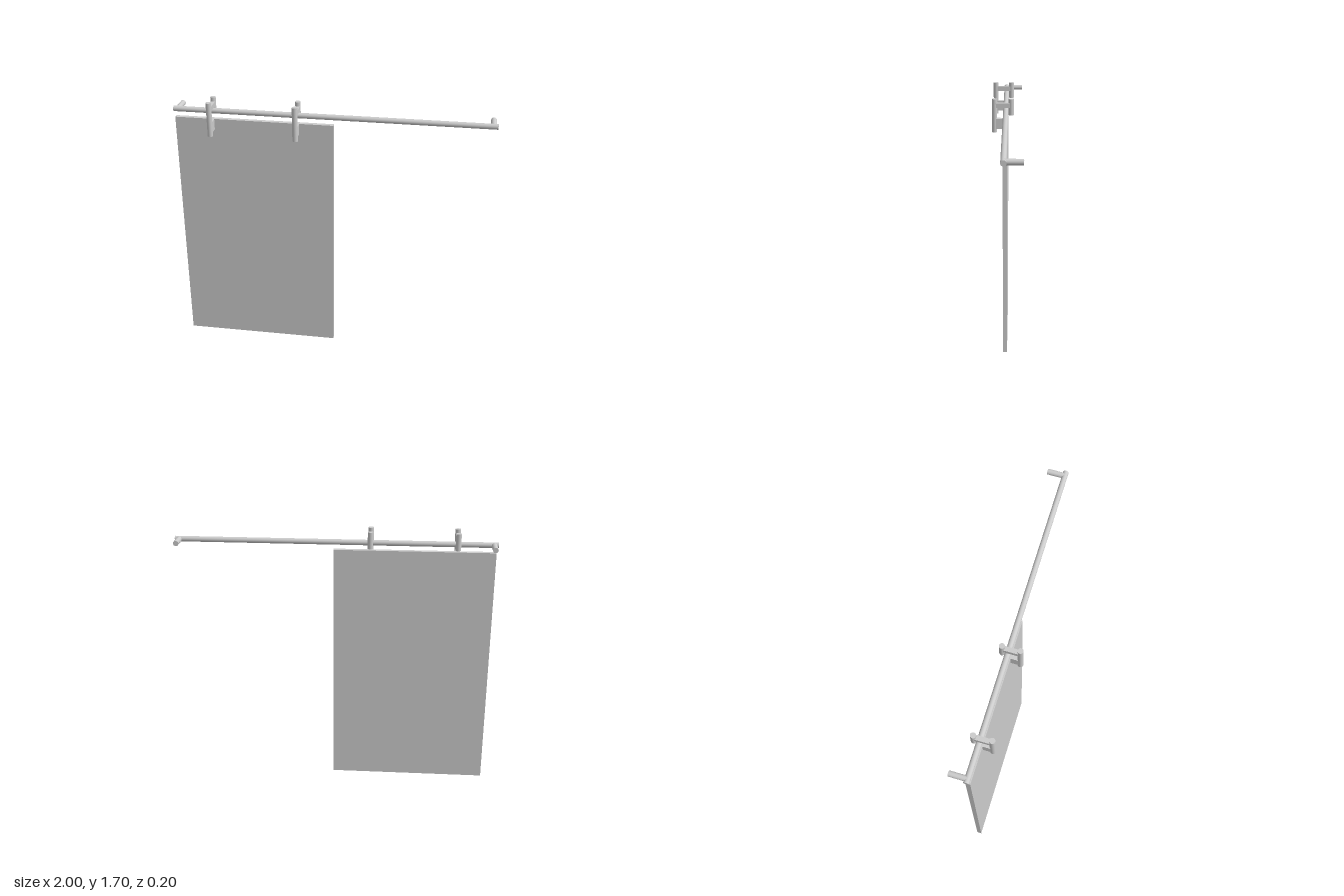
import * as THREE from 'three';

const material = new THREE.MeshStandardMaterial({ color: 0xcccccc });
const R = 0.017; // radius of all round bars
const RAIL_Y = 1.621, RAIL_Z = 0.009;

function part(name, geometry, x, y, z) {
  const mesh = new THREE.Mesh(geometry, material);
  mesh.name = name;
  mesh.position.set(x, y, z);
  return mesh;
}

// Upright round post between two heights
function post(name, y0, y1, z) {
  return part(name, new THREE.CylinderGeometry(R, R, y1 - y0, 32), 0, (y0 + y1) / 2, z);
}

// Box given by its extents in y and z, centred on x
function block(name, width, y0, y1, z0, z1) {
  return part(name, new THREE.BoxGeometry(width, y1 - y0, z1 - z0), 0, (y0 + y1) / 2, (z0 + z1) / 2);
}

// Hook that rides over the rail and grips the front of the panel
function createHanger(x) {
  const hanger = new THREE.Group();
  hanger.name = 'hanger';
  hanger.position.x = x;
  hanger.add(
    post('frontPost', 1.481, 1.698, 0.082),
    post('backPost', 1.593, 1.698, -0.026),
    block('crossBar', 0.029, 1.643, 1.672, -0.026, 0.082),
    block('panelClamp', 0.029, 1.504, 1.571, 0.026, 0.082)
  );
  return hanger;
}

export function createModel() {
  const model = new THREE.Group();
  model.name = 'slidingDoor';

  // Door panel
  const panel = block('doorPanel', 1.0, 0, 1.573, -0.001, 0.027);
  panel.position.x = -0.49;
  model.add(panel);

  // Rail
  const rail = new THREE.CylinderGeometry(R, R, 2, 32).rotateZ(Math.PI / 2);
  model.add(part('rail', rail, 0, RAIL_Y, RAIL_Z));

  // Wall standoffs at both ends of the rail
  const length = RAIL_Z + 0.099;
  for (const side of [-1, 1]) {
    const standoff = new THREE.CylinderGeometry(R, R, length, 32).rotateX(Math.PI / 2);
    model.add(part('wallStandoff', standoff, side * 0.973, RAIL_Y, RAIL_Z - length / 2));
  }

  // Hangers
  for (const x of [-0.754, -0.219]) model.add(createHanger(x));

  return model;
}
